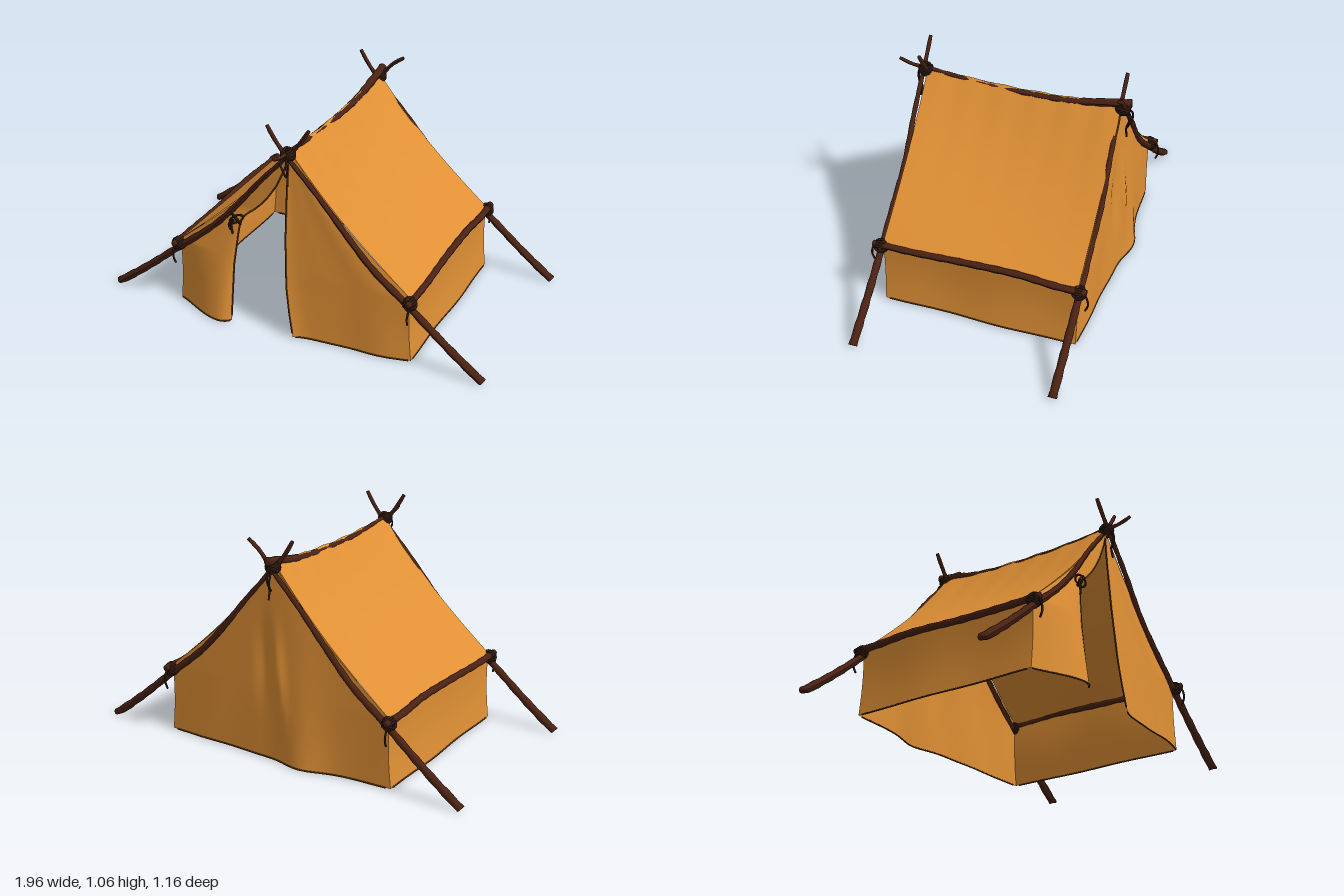
import * as THREE from 'three';
import { ParametricGeometry } from 'three/addons/geometries/ParametricGeometry.js';

const V = (x, y, z) => new THREE.Vector3(x, y, z);
const canvas = new THREE.MeshStandardMaterial({ color: 0xe09035, side: THREE.DoubleSide });
const wood = new THREE.MeshStandardMaterial({ color: 0x4a2213 });
const rope = new THREE.MeshStandardMaterial({ color: 0x2e1a10 });
const hemMat = new THREE.MeshStandardMaterial({ color: 0x54300f });

const FRONT = 0.432, BACK = -0.522, EAVE = 0.335, RIDGE = 0.94;

// Linear interpolation through [key, value] pairs, eased between keys
function ramp(pairs, k) {
  for (let i = 1; i < pairs.length; i++) {
    const [a, va] = pairs[i - 1], [b, vb] = pairs[i];
    if (k <= b) return THREE.MathUtils.lerp(va, vb, Math.max(0, (k - a) / (b - a)));
  }
  return pairs[pairs.length - 1][1];
}

// Half width of the tent at height y; the roof hangs inwards by sag
function halfWidth(y, sag = 0.04) {
  if (y <= EAVE) return 0.603 + 0.012 * (1 - y / EAVE) - 0.008 * Math.sin(Math.PI * y / EAVE);
  const s = Math.min(1, (y - EAVE) / (RIDGE - EAVE));
  return 0.603 * (1 - s) - sag * Math.sin(Math.PI * s);
}

export function createModel() {
  const group = new THREE.Group();
  const add = (name, geometry, material, parent = group) => {
    const mesh = new THREE.Mesh(geometry, material);
    mesh.name = name;
    parent.add(mesh);
    return mesh;
  };

  // Tapered, slightly knobbly closed stick along a smooth path
  function stick(name, pts, r0, r1, material = wood, n = 36, sides = 10, knob = 0.08) {
    const curve = new THREE.CatmullRomCurve3(pts);
    const g = new THREE.TubeGeometry(curve, n, 1, sides);
    const p = g.attributes.position, q = V(0, 0, 0);
    for (let i = 0; i <= n; i++) {
      const c = curve.getPointAt(i / n), end = curve.getPointAt(i === 0 ? 1 / n : i === n ? 1 - 1 / n : i / n);
      const cap = i === 0 || i === n;
      const r = cap ? 0 : THREE.MathUtils.lerp(r0, r1, i / n) * (1 + knob * Math.sin(i * 2.1 + r0 * 900));
      for (let j = 0; j <= sides; j++) {
        const k = i * (sides + 1) + j;
        q.fromBufferAttribute(p, k).sub(c).multiplyScalar(r).add(end);
        p.setXYZ(k, q.x, Math.max(0, q.y), q.z); // feet are cut level with the ground
      }
    }
    g.computeVertexNormals();
    return add(name, g, material);
  }
  const cord = (name, pts, r = 0.005) => stick(name, pts, r, r, rope, 20, 6, 0);

  // Cloth sheet from a rule, with stitched hems along chosen edges
  function cloth(name, rule, nu, nv, hems) {
    add(name, new ParametricGeometry((u, v, t) => t.copy(rule(u, v)), nu, nv), canvas);
    for (const edge of hems) {
      const pts = [];
      for (let i = 0; i <= 24; i++) pts.push(rule(...edge(i / 24)));
      stick(name + 'Hem', pts, 0.004, 0.004, hemMat, 48, 5, 0);
    }
  }
  const bottom = t => [t, 0], freeEdge = t => [1, t * 0.97];

  // Crossed pole frames, front and back
  for (const [label, z] of [['front', 0.443], ['back', -0.528]]) {
    for (const s of [-1, 1]) {
      const tip = label === 'back' && s === -1 ? [0.15, 1.065] : [0.115, 1.088];
      const off = s * 0.013;
      stick(label + 'Pole', [
        V(s * 0.995, -0.015, z), V(s * 0.8, 0.135, z), V(s * 0.6, 0.303, z), V(s * 0.42, 0.452, z + off * 0.3),
        V(s * 0.3, 0.578, z), V(s * 0.15, 0.76, z + off * 0.6), V(0, 0.925, z + off),
        V(-s * 0.06, 1.0, z + off), V(-s * tip[0], tip[1], z + off * 0.8),
      ], 0.021, 0.009, wood, 48);
    }
  }

  // Ridge pole, ending in a thin upturned twig at the front
  const crest = z => 0.925 + 0.1 * z * z;
  stick('ridgePole', [V(0, 0.97, -0.59), V(0, 0.945, -0.45), V(0, 0.918, -0.3), V(0.002, 0.91, -0.1),
    V(-0.003, 0.912, 0.12), V(0, 0.926, 0.3), V(0, 0.94, 0.43), V(0, 0.945, 0.51), V(0, 0.974, 0.6)], 0.021, 0.008, wood, 48);

  // Side rails along the eaves
  for (const s of [-1, 1]) {
    stick('sideRail', [V(s * 0.612, 0.33, 0.51), V(s * 0.612, 0.327, 0.3), V(s * 0.606, 0.333, 0.05),
      V(s * 0.61, 0.343, -0.25), V(s * 0.614, 0.332, -0.42), V(s * 0.61, 0.33, -0.595)], 0.016, 0.017);
  }

  // Rope lashing: two sets of wraps around a joint
  function lashing(x, y, z, angles, r) {
    const knot = new THREE.Group();
    knot.name = 'lashing';
    knot.position.set(x, y, z);
    for (const a of angles) {
      for (let i = -1; i <= 1; i++) {
        const wrap = add('ropeWrap', new THREE.TorusGeometry(r, 0.006, 6, 16), rope, knot);
        wrap.rotation.set(Math.PI / 2, 0, a, 'ZXY');
        wrap.position.set(-Math.sin(a) * i * 0.011, Math.cos(a) * i * 0.011, 0);
      }
    }
    group.add(knot);
  }
  for (const [z, d] of [[0.443, 1], [-0.528, -1]]) {
    lashing(0, 0.932, z, [0.68, -0.68, 0], 0.03);
    cord('ropeTail', [V(0.005, 0.93, z + d * 0.03), V(0.01, 0.88, z + d * 0.035), V(0.006, 0.83, z + d * 0.022), V(0.008, 0.775, z + d * 0.028)]);
    cord('ropeTail', [V(-0.01, 0.93, z + d * 0.025), V(-0.015, 0.9, z + d * 0.045), V(-0.004, 0.86, z + d * 0.04), V(-0.002, 0.82, z + d * 0.018)]);
    for (const s of [-1, 1]) {
      lashing(s * 0.606, 0.318, z, [s * 0.87, s * -0.7], 0.029);
      cord('ropeTail', [V(s * 0.61, 0.33, z + d * 0.02), V(s * 0.615, 0.3, z + d * 0.04), V(s * 0.612, 0.26, z + d * 0.045), V(s * 0.61, 0.22, z + d * 0.03)]);
    }
  }

  // Roof slopes and low side walls
  for (const s of [-1, 1]) {
    cloth('roofAndWall', (u, v) => {
      const z = THREE.MathUtils.lerp(s > 0 ? FRONT : BACK, s > 0 ? BACK : FRONT, u);
      const mid = Math.sin(Math.PI * u);
      const y = v * RIDGE;
      const top = Math.max(0, (y - EAVE) / (RIDGE - EAVE));
      const x = halfWidth(y, 0.034 + 0.03 * mid) - (y < EAVE ? 0.006 * mid * Math.sin(9 * z) * (1 - v) : 0);
      const lift = (crest(z) + 0.003 * Math.sin(z * 38) - RIDGE) * top * top;
      return V(s * x, y + 0.004 + lift, z);
    }, 36, 56, [bottom]);
  }

  // Closed front flap, hanging from the apex to the middle
  const closedEdge = [[0, 0.04], [0.12, 0.018], [0.25, 0], [0.5, -0.01], [0.75, -0.008], [0.93, 0]];
  cloth('closedFlap', (u, v) => {
    const y = 0.93 * v, drop = 1 - v;
    const x = THREE.MathUtils.lerp(halfWidth(y), ramp(closedEdge, y), u);
    const z = FRONT + drop * (0.035 * Math.sin(Math.min(1, u * 2.5) * Math.PI / 2) + 0.04 * u ** 7)
      + 0.005 * Math.sin(u * 11) * drop * u;
    return V(x, y + 0.004, z);
  }, 28, 32, [bottom, freeEdge]);

  // Front flap gathered to the side and flaring out at the ground
  const tiedEdge = [[0, -0.29], [0.3, -0.282], [0.48, -0.262], [0.55, -0.245], [0.6, -0.185], [0.66, -0.125], [0.75, -0.065], [0.85, -0.018], [0.93, 0]];
  cloth('tiedFlap', (u, v) => {
    const y = 0.93 * v, low = Math.max(0, 1 - y / 0.6);
    const x = THREE.MathUtils.lerp(-halfWidth(y), Math.min(0, ramp(tiedEdge, y)), u);
    const z = FRONT + 0.008 * u + low * (0.1 * Math.sin(Math.min(1, u * 1.12) * Math.PI / 2) ** 1.3 - 0.035 * u ** 14);
    return V(x, y + 0.004, z);
  }, 28, 40, [bottom, freeEdge]);

  // Tie holding the gathered flap to the pole
  for (const [a, r] of [[0.5, 0.03], [-0.5, 0.026]]) {
    const loop = add('flapTie', new THREE.TorusGeometry(r, 0.005, 6, 20), rope);
    loop.position.set(-0.268, 0.545, 0.462);
    loop.rotation.set(0.5, a, a);
    loop.scale.set(1.2, 0.8, 1);
  }
  cord('tieTail', [V(-0.285, 0.55, 0.47), V(-0.29, 0.51, 0.475), V(-0.284, 0.465, 0.472)]);
  cord('tieTail', [V(-0.275, 0.545, 0.47), V(-0.3, 0.52, 0.478), V(-0.293, 0.485, 0.475)]);

  // Closed back panel with soft folds and a bulge near the ground
  cloth('backPanel', (u, v) => {
    const y = 0.93 * v, x = halfWidth(y) * (1 - 2 * u);
    const inner = Math.sin(Math.PI * u), drop = 1 - v;
    const bulge = 0.045 * Math.exp(-(((x + 0.15) / 0.12) ** 2)) * drop ** 1.5;
    const fold = 0.016 * Math.exp(-(((x + 0.03 - 0.1 * (v - 0.5)) / 0.035) ** 2) - ((v - 0.45) / 0.2) ** 2)
      - 0.012 * Math.exp(-(((x - 0.06) / 0.04) ** 2) - ((v - 0.5) / 0.18) ** 2);
    return V(x, y + 0.004, BACK - 0.018 * inner * drop - bulge - fold
      - 0.004 * Math.sin(x * 17 + y * 5) * inner * drop);
  }, 56, 40, [bottom]);

  return group;
}
